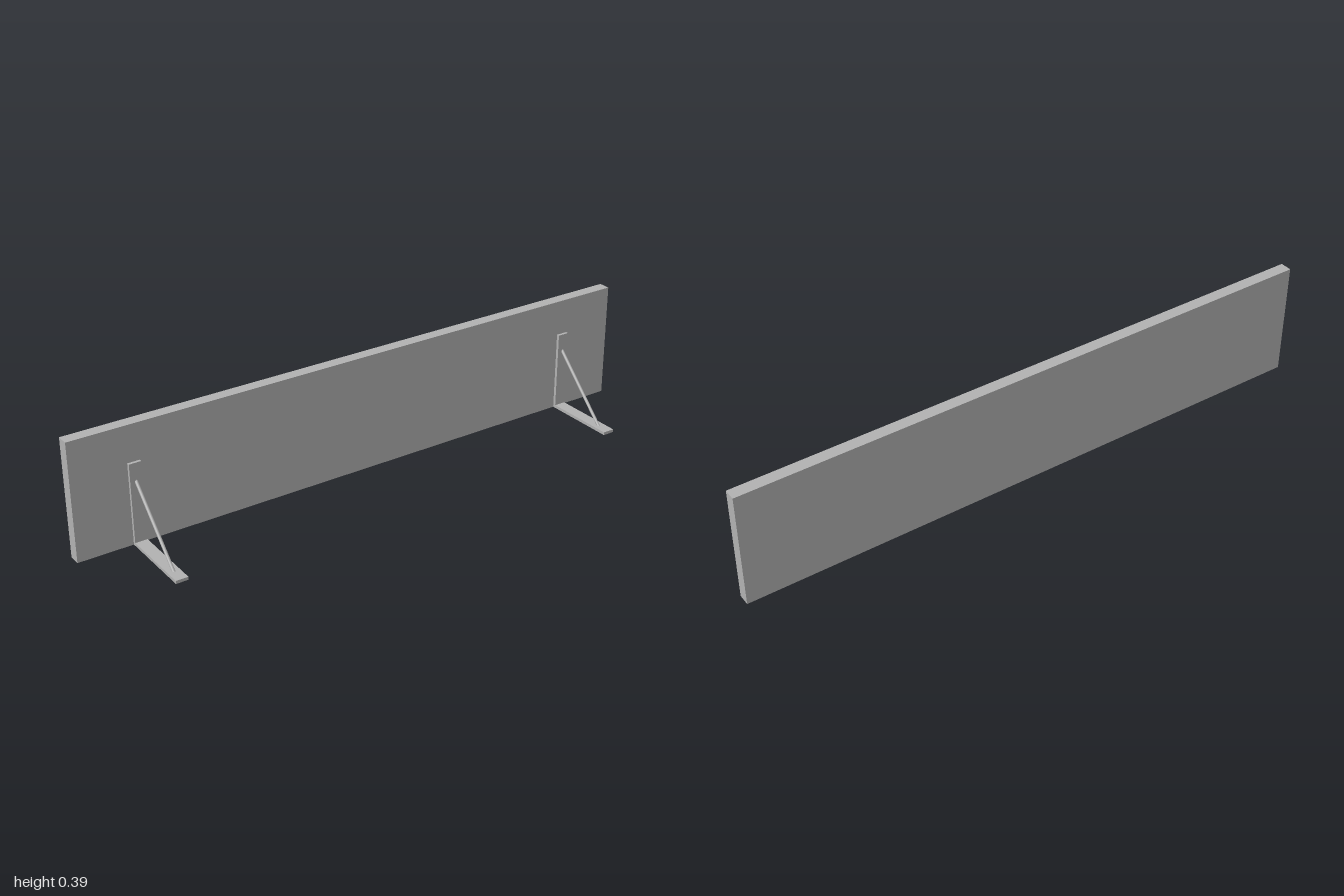
import * as THREE from 'three';

export function createModel() {
  const group = new THREE.Group();
  const grey = new THREE.MeshStandardMaterial({ color: 0xb2b2b2 });
  grey.name = 'grey';

  const box = (name, parent, w, h, d, x, y, z) => {
    const mesh = new THREE.Mesh(new THREE.BoxGeometry(w, h, d), grey);
    mesh.name = name;
    mesh.position.set(x, y, z);
    parent.add(mesh);
  };

  // Upright board
  box('board', group, 2, 0.39, 0.04, 0, 0.195, -0.13);

  // L-shaped support brackets with a diagonal rod
  for (const [name, x] of [['leftBracket', 0.8], ['rightBracket', -0.8]]) {
    const bracket = new THREE.Group();
    bracket.name = name;
    bracket.position.x = x;
    box('backPlate', bracket, 0.04, 0.27, 0.01, 0, 0.135, -0.105);
    box('footPlate', bracket, 0.04, 0.01, 0.25, 0, 0.005, 0.025);

    // Rod ends are sunk into both plates
    const low = new THREE.Vector3(0, 0.005, 0.1025);
    const high = new THREE.Vector3(0, 0.2125, -0.105);
    const rod = new THREE.Mesh(
      new THREE.CylinderGeometry(0.0052, 0.0052, low.distanceTo(high), 24), grey);
    rod.name = 'diagonalRod';
    rod.position.copy(low).add(high).multiplyScalar(0.5);
    rod.rotation.x = -Math.PI / 4;
    bracket.add(rod);
    group.add(bracket);
  }
  return group;
}
